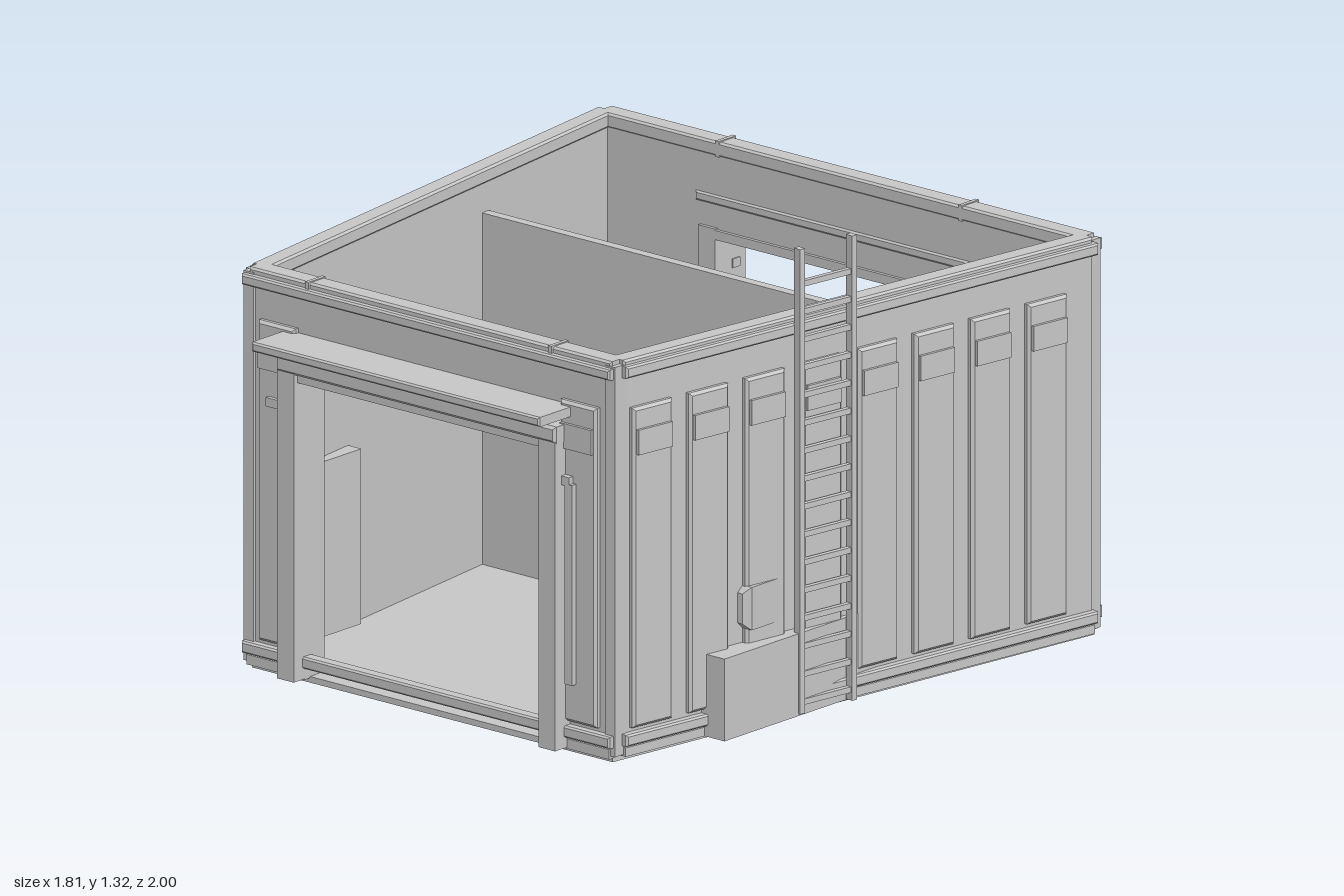
import * as THREE from 'three';

const grey = new THREE.MeshStandardMaterial({ color: 0xc8c8c8 });
grey.name = 'plain grey';

// Box given by its minimum and maximum along each axis
function box(parent, name, x0, x1, y0, y1, z0, z1) {
  const m = new THREE.Mesh(new THREE.BoxGeometry(x1 - x0, y1 - y0, z1 - z0), grey);
  m.position.set((x0 + x1) / 2, (y0 + y1) / 2, (z0 + z1) / 2);
  m.name = name;
  parent.add(m);
}

// Slab facing +z with a bevelled front edge
function panel(parent, name, x0, x1, y0, y1, z0, z1, b = 0.008) {
  const s = new THREE.Shape();
  s.moveTo(x0 + b, y0 + b).lineTo(x1 - b, y0 + b).lineTo(x1 - b, y1 - b).lineTo(x0 + b, y1 - b);
  const g = new THREE.ExtrudeGeometry(s, {
    depth: z1 - z0 - 2 * b, bevelThickness: b, bevelSize: b, bevelSegments: 1,
  });
  const m = new THREE.Mesh(g, grey);
  m.position.z = z0 + b;
  m.name = name;
  parent.add(m);
}

function wallPanel(parent, x, w, z) {
  panel(parent, 'wallPanel', x - w / 2, x + w / 2, 0.09, 0.985, z - 0.01, z + 0.02);
  box(parent, 'panelPlate', x - w * 0.43, x + w * 0.43, 0.855, 0.925, z + 0.01, z + 0.029);
}

const SHIFT = 0.006; // the shell sits slightly off centre

// End wall with a wide doorway, built facing +z
function endWall(name, hw, panels) {
  const g = new THREE.Group();
  g.name = name;
  for (const s of [-1, 1]) {
    const side = (n, a, b, ...r) => box(g, n, Math.min(s * a, s * b), Math.max(s * a, s * b), ...r);
    side('wallSide', 0.435, hw, 0.02, 1.1, 0.8, 0.855);
    side('doorPost', 0.434, 0.493, 0.015, 0.88, 0.79, 0.915);
    side('copingJoint', 0.425, 0.437, 1.08, 1.125, 0.796, 0.866);
    side('cornerPost', hw - 0.02, hw + 0.015, 0.02, 1.11, 0.81, 0.862);
    side('sill', 0.435, hw, 0.012, 0.04, 0.8, 0.868);
    for (const x of panels) wallPanel(g, s * x, 0.13, 0.853);
  }
  box(g, 'wallAboveDoor', -0.435, 0.435, 0.87, 1.1, 0.8, 0.855);
  panel(g, 'coping', -hw, hw, 1.08, 1.122, 0.797, 0.86, 0.006);
  panel(g, 'topRail', -hw - 0.01, hw + 0.01, 1.075, 1.105, 0.84, 0.88, 0.005);
  panel(g, 'bottomRail', -hw - 0.01, hw + 0.01, 0.045, 0.078, 0.84, 0.88, 0.005);
  panel(g, 'doorLintel', -0.495, 0.495, 0.875, 0.922, 0.82, 0.92);
  box(g, 'innerLintel', -0.44, 0.44, 0.85, 0.876, 0.79, 0.9);
  panel(g, 'canopy', -0.51, 0.51, 0.945, 0.972, 0.795, 1.0, 0.005);
  // Door hardware beside the opening
  box(g, 'hingeArm', 0.43, 0.52, 0.755, 0.78, 0.86, 0.89);
  box(g, 'doorBar', 0.505, 0.53, 0.2, 0.76, 0.86, 0.89);
  box(g, 'wallSign', -0.56, -0.49, 0.755, 0.78, 0.86, 0.885);
  g.position.x = SHIFT;
  return g;
}

// Slanted side wall, built facing +z with its length along x
function sideWall(name, side) {
  const g = new THREE.Group();
  g.name = name;
  const L = 0.832;
  box(g, 'wall', -L, L, 0.02, 1.1, -0.03, 0.018);
  panel(g, 'coping', -L, L, 1.08, 1.122, -0.035, 0.024, 0.006);
  panel(g, 'topRail', -L - 0.005, L + 0.005, 1.075, 1.108, 0.005, 0.042, 0.005);
  panel(g, 'bottomRail', -L - 0.005, L + 0.005, 0.045, 0.078, 0.005, 0.042, 0.005);
  box(g, 'sill', -L, L, 0.015, 0.04, -0.03, 0.03);
  for (let i = 0; i < 8; i++) wallPanel(g, -0.737 + i * 0.2, 0.14, 0.016);
  // Swing the wall so that the plan narrows toward the front
  g.position.x = side * 0.747 + SHIFT;
  g.rotation.y = side * (Math.PI / 2 - 0.133);
  return g;
}

export function createModel() {
  const model = new THREE.Group();
  model.name = 'workshop';

  // Tapered floor slab
  const f = new THREE.Shape();
  f.moveTo(-0.64, -0.85).lineTo(0.64, -0.85).lineTo(0.86, 0.85).lineTo(-0.86, 0.85);
  const floor = new THREE.Mesh(new THREE.ExtrudeGeometry(f, { depth: 0.017, bevelEnabled: false }), grey);
  floor.rotation.x = -Math.PI / 2;
  floor.position.x = SHIFT;
  floor.name = 'floor';
  model.add(floor);

  // Outer walls
  const back = endWall('backWall', 0.855, [0.545, 0.735]);
  back.rotation.y = Math.PI;
  const left = sideWall('leftWall', 1);
  model.add(endWall('frontWall', 0.643, [0.535]), back, left, sideWall('rightWall', -1));

  // Ladder fixed to the left wall
  const ladder = new THREE.Group();
  ladder.name = 'ladder';
  for (const x of [-0.235, -0.05]) box(ladder, 'ladderRail', x - 0.009, x + 0.009, 0.02, 1.32, 0.04, 0.065);
  for (let i = 0; i < 16; i++) {
    const y = 0.05 + i * 0.078;
    box(ladder, 'rung', -0.235, -0.05, y - 0.008, y + 0.008, 0.045, 0.06);
  }
  left.add(ladder);

  // Long workbench running through the slanted left wall, its units and a low stool
  box(model, 'workbench', 0.62, 0.78, 0.015, 0.245, -0.47, 0.55);
  for (const z of [-0.275, 0.035, 0.345]) {
    panel(model, 'benchUnit', 0.635, 0.75, 0.285, 0.405, z - 0.078, z + 0.078, 0.018);
    box(model, 'unitStand', 0.67, 0.71, 0.245, 0.29, z - 0.03, z + 0.03);
  }
  box(model, 'stool', 0.46, 0.615, 0.015, 0.13, 0.13, 0.435);

  // Banded unit through the right wall, and low outside boxes
  panel(model, 'ventUnit', -0.77, -0.605, 0.03, 0.52, 0.42, 0.67, 0.02);
  for (let i = 0; i < 4; i++) {
    box(model, 'ventBand', -0.778, -0.76, 0.05 + i * 0.113, 0.155 + i * 0.113, 0.445, 0.645);
  }
  for (const z of [-0.505, 0.495]) panel(model, 'lowBox', -0.91, -0.865, 0.04, 0.21, z - 0.056, z + 0.056, 0.01);

  // Partition with a doorway, ending at the workbench
  const p = new THREE.Shape();
  p.moveTo(-0.74, 0.012).lineTo(-0.325, 0.012).lineTo(-0.325, 0.55).lineTo(-0.04, 0.55)
    .lineTo(-0.04, 0.012).lineTo(0.615, 0.012).lineTo(0.615, 1.0).lineTo(-0.74, 1.0);
  const partition = new THREE.Mesh(new THREE.ExtrudeGeometry(p, { depth: 0.03, bevelEnabled: false }), grey);
  partition.position.z = -0.232;
  partition.name = 'partition';
  model.add(partition);

  // Desk with monitor and keyboard
  box(model, 'deskTop', -0.035, 0.27, 0.19, 0.21, -0.385, -0.23);
  box(model, 'deskLeg', 0.22, 0.25, 0.015, 0.19, -0.37, -0.23);
  box(model, 'deskDrawers', -0.02, 0.07, 0.015, 0.19, -0.37, -0.23);
  box(model, 'monitorStand', 0.14, 0.18, 0.21, 0.24, -0.335, -0.315);
  box(model, 'monitor', 0.1, 0.22, 0.225, 0.3, -0.338, -0.325);
  box(model, 'keyboard', 0.105, 0.215, 0.21, 0.22, -0.305, -0.27);
  return model;
}
